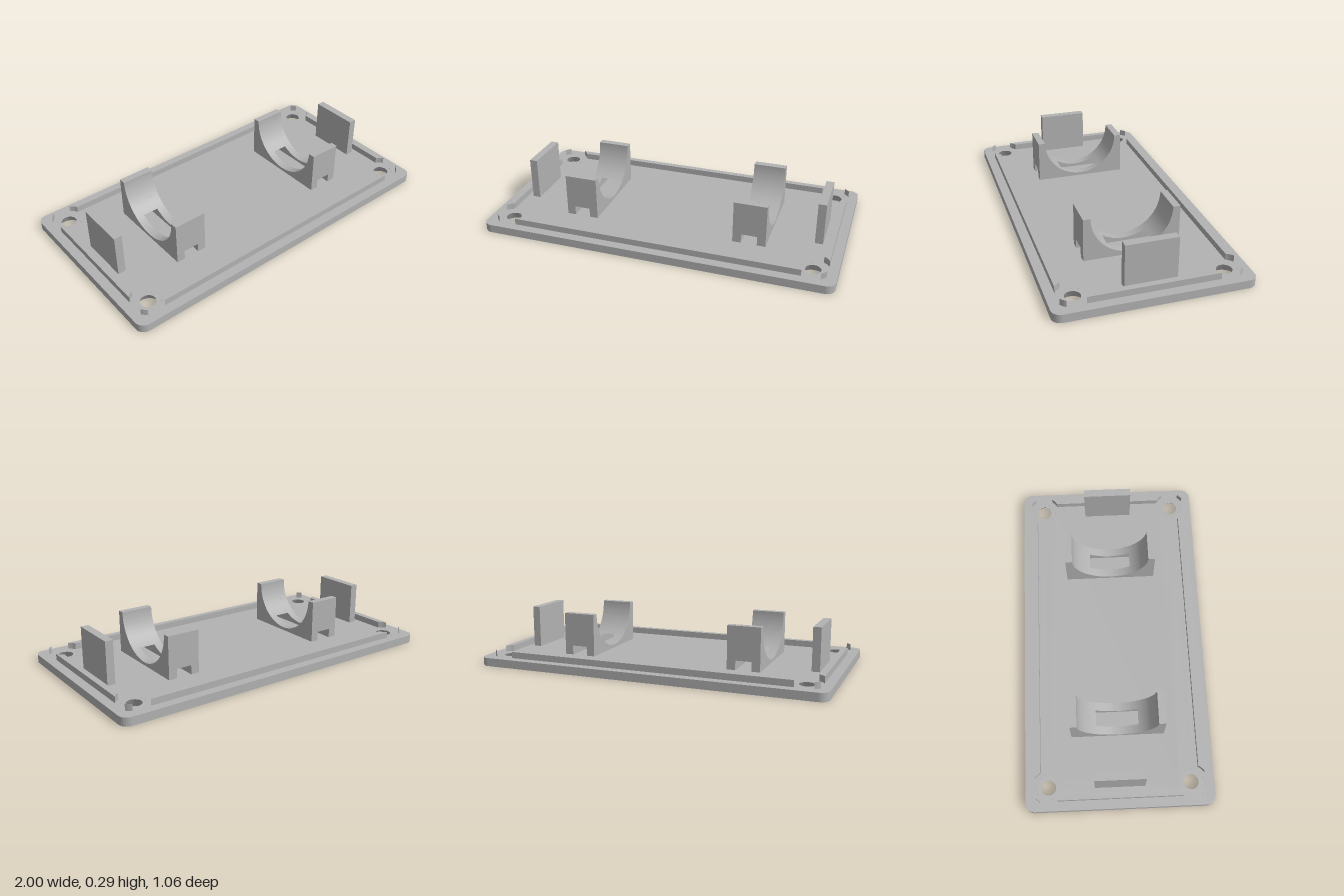
import * as THREE from 'three';
import { toCreasedNormals } from 'three/addons/utils/BufferGeometryUtils.js';

export function createModel() {
  const model = new THREE.Group();
  const grey = new THREE.MeshStandardMaterial({ color: 0xb2b2b2 });
  grey.name = 'grey plastic';

  const T = 0.047, LIP_TOP = 0.083, TOP = 0.29; // plate, lip and upright heights
  const HX = 0.87, HZ = 0.4;                    // screw hole centres
  const SINK_R = 0.067, HOLE_R = 0.042, CLEAR_R = 0.092;
  const LIP_OUT = 0.077, LIP_IN = 0.043;        // lip faces, measured from the hole centres

  const add = (name, geometry, parent = model) => {
    const mesh = new THREE.Mesh(toCreasedNormals(geometry, 0.6), grey);
    mesh.name = name;
    parent.add(mesh);
    return mesh;
  };
  // Extrude a plan outline upwards from y0 to y1
  const slab = (shape, y0, y1) =>
    new THREE.ExtrudeGeometry(shape, { depth: y1 - y0, bevelEnabled: false, curveSegments: 32 })
      .rotateX(-Math.PI / 2).translate(0, y0, 0);
  // Extrude a side outline (z, y) across x
  const across = (shape, x0, x1) =>
    new THREE.ExtrudeGeometry(shape, { depth: x1 - x0, bevelEnabled: false, curveSegments: 40 })
      .rotateY(Math.PI / 2).translate(x0, 0, 0);

  // Base plate with rounded corners
  const w = 1, d = 0.53, r = 0.05;
  const plate = new THREE.Shape();
  plate.absarc(w - r, d - r, r, 0, Math.PI / 2);
  plate.absarc(-w + r, d - r, r, Math.PI / 2, Math.PI);
  plate.absarc(-w + r, -d + r, r, Math.PI, Math.PI * 1.5);
  plate.absarc(w - r, -d + r, r, Math.PI * 1.5, Math.PI * 2);
  plate.closePath();
  const corners = [[1, 1], [-1, 1], [-1, -1], [1, -1]];
  for (const [sx, sz] of corners) {
    const hole = new THREE.Path();
    hole.absarc(sx * HX, sz * HZ, SINK_R, 0, Math.PI * 2, true);
    plate.holes.push(hole);
  }
  add('basePlate', slab(plate, 0, T));

  // Countersinks, narrowing towards the top of the plate
  const sink = [[SINK_R, T], [HOLE_R, T], [SINK_R, 0]].map(p => new THREE.Vector2(...p));
  // Small corner pieces of the lip
  const a = Math.asin(LIP_OUT / CLEAR_R);
  const corner = new THREE.Shape();
  corner.moveTo(HX + LIP_OUT, HZ + LIP_OUT);
  corner.absarc(HX, HZ, CLEAR_R, a, Math.PI / 2 - a, true);
  corner.closePath();
  for (const [sx, sz] of corners) {
    add('countersink', new THREE.LatheGeometry(sink, 32)).position.set(sx * HX, 0, sz * HZ);
    const pts = corner.getPoints(8).map(p => new THREE.Vector2(p.x * sx, p.y * sz));
    add('lipCorner', slab(new THREE.Shape(pts), T, LIP_TOP));
  }

  // Lip bars, with ends cut round the screw holes
  const lipBar = (u, v) => {
    const b = Math.asin(LIP_IN / CLEAR_R);
    const s = new THREE.Shape();
    s.absarc(u, v, CLEAR_R, Math.PI - b, Math.PI - a, true);
    s.absarc(-u, v, CLEAR_R, a, b, true);
    s.closePath();
    return slab(s, T, LIP_TOP);
  };
  add('backLip', lipBar(HX, HZ));
  add('frontLip', lipBar(HX, HZ).rotateY(Math.PI));
  add('rightLip', lipBar(HZ, HX).rotateY(Math.PI / 2));
  add('leftLip', lipBar(HZ, HX).rotateY(-Math.PI / 2));

  // Cradle profile: a block with a round trough
  const R = 0.225, D = 0.265, SLOT_TOP = 0.1;
  const profile = new THREE.Shape();
  profile.moveTo(-D, T);
  profile.lineTo(D, T);
  profile.lineTo(D, TOP);
  profile.absarc(0, TOP, R, 0, -Math.PI, true);
  profile.lineTo(-D, TOP);
  profile.closePath();
  // One jaw above the strap slot
  const jaw = new THREE.Shape();
  jaw.moveTo(D, SLOT_TOP);
  jaw.lineTo(D, TOP);
  jaw.absarc(0, TOP, R, 0, -Math.asin((TOP - SLOT_TOP) / R), true);
  jaw.closePath();

  for (const [side, s] of [['left', 1], ['right', -1]]) {
    const cradle = new THREE.Group();
    cradle.name = side + 'Cradle';
    cradle.position.x = s * 0.495;
    add('cradleRib', across(profile, -0.093, -0.045), cradle);
    add('cradleRib', across(profile, 0.045, 0.093), cradle);
    add('cradleJaw', across(jaw, -0.045, 0.045), cradle);
    add('cradleJaw', across(jaw, -0.045, 0.045).rotateY(Math.PI), cradle);
    model.add(cradle);

    // Upright stop beyond the cradle
    add(side + 'EndStop', new THREE.BoxGeometry(0.045, TOP - T, 0.282))
      .position.set(s * 0.859, (TOP + T) / 2, 0);
  }
  return model;
}
